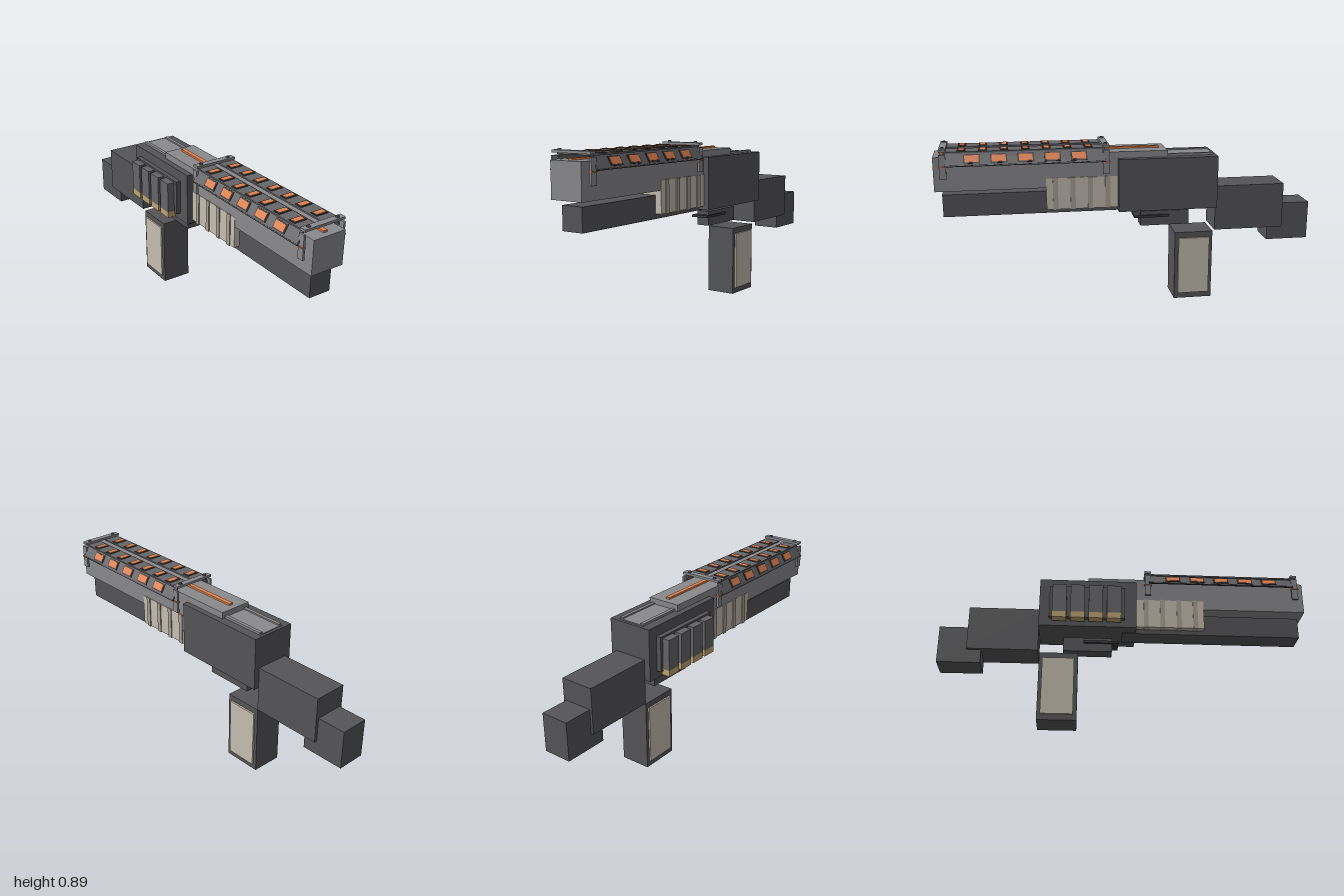
import * as THREE from 'three';

const CX = 0.027; // centre line of the gun body

const mat = (color) => new THREE.MeshStandardMaterial({ color, flatShading: true });

export function createModel() {
  const model = new THREE.Group();
  model.name = 'blaster';
  const dark = mat(0x555558), darker = mat(0x38383a), steel = mat(0x8a8a8d), panel = mat(0x66666a);
  const tan = mat(0xc6beb0), rib = mat(0xa8a196), orange = mat(0xe0814e), brass = mat(0xbfa472);

  // Box given by its lower and upper limits on each axis
  function box(name, material, [x0, x1], [y0, y1], [z0, z1], parent = model) {
    const mesh = new THREE.Mesh(new THREE.BoxGeometry(x1 - x0, y1 - y0, z1 - z0), material);
    mesh.position.set((x0 + x1) / 2, (y0 + y1) / 2, (z0 + z1) / 2);
    mesh.name = name;
    parent.add(mesh);
    return mesh;
  }
  // Limits placed symmetrically around a centre
  const around = (c, size) => [c - size / 2, c + size / 2];

  // Barrel, magazine tube and receiver
  box('barrel', steel, [-0.065, 0.118], [0.66, 0.838], [-0.205, 1]);
  box('magazineTube', dark, [-0.034, 0.086], [0.517, 0.635], [-0.015, 0.965]);
  box('receiver', dark, [-0.098, 0.149], [0.522, 0.803], [-0.47, 0.06]);
  box('rearPlate', steel, around(CX, 0.15), [0.795, 0.808], [-0.455, -0.2]);
  for (const s of [-1, 1])
    box('rearPlateRail', steel, around(CX + s * 0.066, 0.018), [0.8, 0.815], [-0.45, -0.2]);
  box('sightStrip', orange, around(CX, 0.023), [0.835, 0.848], [-0.17, 0.97]);

  // Ribbed fore-end
  box('foreEnd', tan, around(CX, 0.187), [0.543, 0.71], [0.055, 0.435]);
  for (let i = 0; i < 4; i++)
    box('foreEndRib', rib, around(CX, 0.197), [0.54, 0.712], around(0.115 + i * 0.091, 0.026));

  // Stock in two steps
  box('stock', dark, [-0.064, 0.118], [0.39, 0.634], [-0.847, -0.468]);
  box('stockEnd', dark, [-0.05, 0.102], [0.315, 0.52], [-1, -0.77]);

  // Grip with inset side panels, trigger block and trigger
  box('grip', dark, [-0.056, 0.109], [0, 0.38], [-0.46, -0.252]);
  for (const s of [-1, 1])
    box('gripPanel', tan, around(CX + s * 0.086, 0.011), [0.032, 0.348], [-0.442, -0.272]);
  box('triggerBlock', dark, [-0.01, 0.064], [0.415, 0.495], [-0.335, -0.07]);
  box('trigger', darker, [-0.022, 0.075], [0.462, 0.475], [-0.225, -0.035]);

  // Shell carrier on the right side
  const carrier = new THREE.Group();
  carrier.name = 'shellCarrier';
  model.add(carrier);
  box('carrierPlate', dark, [-0.124, -0.096], [0.563, 0.75], [-0.415, -0.005], carrier);
  for (let i = 0; i < 4; i++) {
    const z = around(-0.36 + i * 0.098, 0.077);
    box('shell', panel, [-0.163, -0.118], [0.575, 0.74], z, carrier);
    box('shellBase', brass, [-0.163, -0.115], [0.542, 0.576], z, carrier);
  }

  // Heat shield: a flat top panel and a sloped side panel, mirrored
  function shieldPanel(name, width, count, pitch, ventX, ventZ) {
    const g = new THREE.Group();
    g.name = name;
    box(name + 'Plate', panel, around(0, width), [-0.004, 0.004], around(0, 0.81), g);
    for (let i = 0; i < count; i++) {
      const z = (i - (count - 1) / 2) * pitch;
      box('ventFrame', darker, around(0, ventX + 0.014), [0.003, 0.007], around(z, ventZ + 0.014), g);
      box('vent', orange, around(0, ventX), [0.004, 0.009], around(z, ventZ), g);
    }
    model.add(g);
    return g;
  }
  for (const s of [-1, 1]) {
    const top = shieldPanel('topShield', 0.09, 7, 0.107, 0.056, 0.028);
    top.position.set(CX + s * 0.063, 0.864, 0.535);
    const side = shieldPanel('sideShield', 0.07, 5, 0.135, 0.036, 0.07);
    side.position.set(CX + s * 0.114, 0.829, 0.535);
    side.rotation.z = -s * 1.04;
    box('shieldLip', darker, around(CX + s * 0.13, 0.008), [0.796, 0.804], [0.13, 0.94]);
  }

  // Clamps at both ends of the heat shield
  for (const z of [0.125, 0.95]) {
    const clamp = new THREE.Group();
    clamp.name = 'shieldClamp';
    model.add(clamp);
    box('clampBar', steel, around(CX, 0.233), [0.868, 0.881], around(z, 0.034), clamp);
    for (const s of [-1, 1]) {
      box('clampLeg', steel, around(CX + s * 0.115, 0.011), [0.73, 0.856], around(z, 0.034), clamp);
      box('clampPin', orange, around(CX + s * 0.116, 0.019), [0.79, 0.795], around(z, 0.04), clamp);
      const bolt = new THREE.Mesh(new THREE.CylinderGeometry(0.008, 0.011, 0.008, 8), dark);
      bolt.name = 'clampBolt';
      bolt.position.set(CX + s * 0.083, 0.884, z);
      clamp.add(bolt);
    }
  }
  return model;
}
